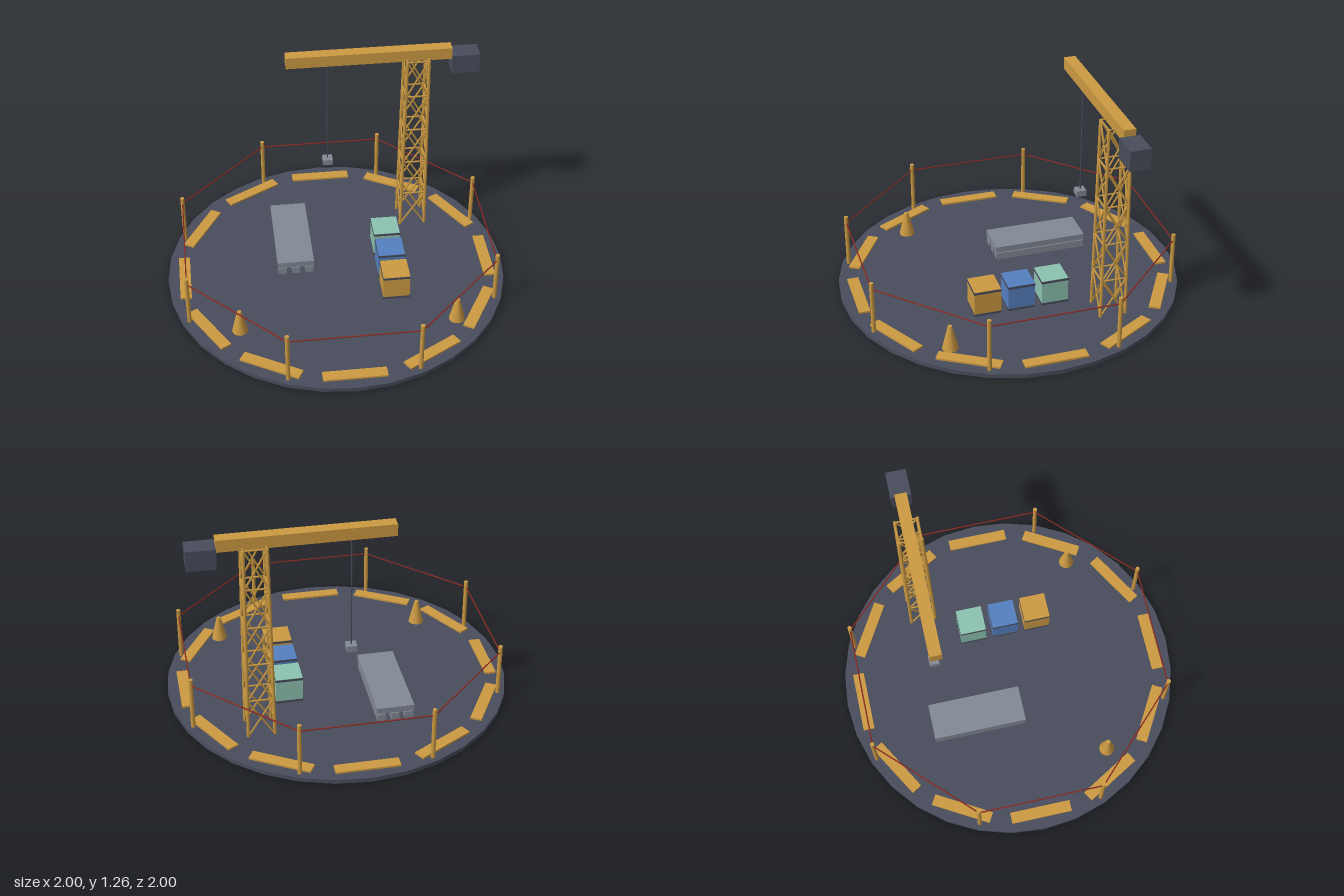
import * as THREE from 'three';

const material = (name, color) => {
  const m = new THREE.MeshStandardMaterial({ color });
  m.name = name;
  return m;
};

export function createModel() {
  const model = new THREE.Group();
  model.name = 'constructionSite';
  const orange = material('safety orange', 0xcc9a42);
  const slate = material('slate', 0x494d5c);
  const grey = material('concrete grey', 0x828995);
  const blue = material('crate blue', 0x5580c0);
  const mint = material('crate mint', 0x8dc3b0);
  const red = material('rope red', 0x8f2a22);

  const add = (parent, name, geometry, mat, x = 0, y = 0, z = 0) => {
    const mesh = new THREE.Mesh(geometry, mat);
    mesh.name = name;
    mesh.position.set(x, y, z);
    parent.add(mesh);
    return mesh;
  };
  const group = (name) => {
    const g = new THREE.Group();
    g.name = name;
    model.add(g);
    return g;
  };
  // Box given by its lower and upper limits on each axis
  const box = (parent, name, mat, [x0, x1], [y0, y1], [z0, z1]) =>
    add(parent, name, new THREE.BoxGeometry(x1 - x0, y1 - y0, z1 - z0), mat,
      (x0 + x1) / 2, (y0 + y1) / 2, (z0 + z1) / 2);
  // Round bar between two points
  const up = new THREE.Vector3(0, 1, 0);
  const bar = (parent, name, mat, a, b, r, sides = 8) => {
    const d = b.clone().sub(a);
    const mesh = add(parent, name, new THREE.CylinderGeometry(r, r, d.length(), sides), mat);
    mesh.position.copy(a).lerp(b, 0.5);
    mesh.quaternion.setFromUnitVectors(up, d.normalize());
  };

  // Round ground slab
  add(model, 'ground', new THREE.CylinderGeometry(1, 1, 0.025, 32), slate, 0, 0.0125, 0);

  // Ring of warning strips
  const strips = group('warningStrips');
  for (let i = 0; i < 12; i++) {
    const a = i * Math.PI / 6;
    const strip = add(strips, 'warningStrip', new THREE.BoxGeometry(0.36, 0.012, 0.066), orange,
      Math.sin(a) * 0.9, 0.03, Math.cos(a) * 0.9);
    strip.rotation.y = a;
  }

  // Fence of eight posts joined by a rope
  const fence = group('fence');
  const fencePoint = (i, y) => {
    const a = (i + 0.5) * Math.PI / 4;
    return new THREE.Vector3(Math.sin(a) * 0.96, y, Math.cos(a) * 0.96);
  };
  for (let i = 0; i < 8; i++) {
    bar(fence, 'fencePost', orange, fencePoint(i, 0.02), fencePoint(i, 0.345), 0.0125, 10);
    bar(fence, 'rope', red, fencePoint(i, 0.305), fencePoint(i + 1, 0.305), 0.004, 6);
  }

  // Crane mast: four tapering legs with crossed braces
  const crane = group('crane');
  const cx = 0.52, cz = -0.44, bays = 5;
  const corners = [[1, 1], [1, -1], [-1, -1], [-1, 1]];
  const mastPoint = (k, t) => {
    const [sx, sz] = corners[k % 4];
    const h = 0.075 - 0.012 * t;
    return new THREE.Vector3(cx + sx * h, 0.025 + 1.175 * t, cz + sz * h);
  };
  for (let k = 0; k < 4; k++) {
    bar(crane, 'mastLeg', orange, mastPoint(k, 0), mastPoint(k, 1), 0.0095);
    for (let b = 0; b < bays; b++) {
      const t0 = b / bays, t1 = (b + 1) / bays;
      bar(crane, 'mastBrace', orange, mastPoint(k, t0), mastPoint(k + 1, t1), 0.0055, 6);
      bar(crane, 'mastBrace', orange, mastPoint(k + 1, t0), mastPoint(k, t1), 0.0055, 6);
      bar(crane, 'mastRung', orange, mastPoint(k, t1), mastPoint(k + 1, t1), 0.0055, 6);
    }
  }

  // Jib, counterweight, cable and hook block
  box(crane, 'jib', orange, [-0.24, 0.72], [1.19, 1.26], [cz - 0.034, cz + 0.034]);
  box(crane, 'counterweight', slate, [0.72, 0.88], [1.105, 1.222], [cz - 0.058, cz + 0.058]);
  bar(crane, 'cable', slate, new THREE.Vector3(0, 0.52, cz), new THREE.Vector3(0, 1.19, cz), 0.004, 6);
  box(crane, 'hookBlock', grey, [-0.029, 0.029], [0.485, 0.521], [cz - 0.029, cz + 0.029]);

  // Concrete slab resting above three beams
  const slabs = group('slabStack');
  for (const x of [-0.322, -0.242, -0.162])
    box(slabs, 'beam', grey, [x - 0.024, x + 0.024], [0.03, 0.073], [-0.52, 0.03]);
  box(slabs, 'slab', grey, [-0.35, -0.135], [0.08, 0.117], [-0.522, 0.032]);

  // Crates with dark bands round the top and foot
  [mint, blue, orange].forEach((mat, i) => {
    const crate = group('crate');
    const z = -0.162 + i * 0.199;
    box(crate, 'crateBody', mat, [0.24, 0.396], [0.027, 0.187], [z - 0.078, z + 0.078]);
    for (const [y0, y1] of [[0.027, 0.041], [0.171, 0.185]])
      box(crate, 'crateBand', slate, [0.238, 0.398], [y0, y1], [z - 0.08, z + 0.08]);
  });

  // Traffic cones
  for (const [x, z] of [[-0.604, 0.475], [0.637, 0.518]])
    add(model, 'trafficCone', new THREE.CylinderGeometry(0.012, 0.046, 0.145, 16), orange, x, 0.0975, z);

  return model;
}
